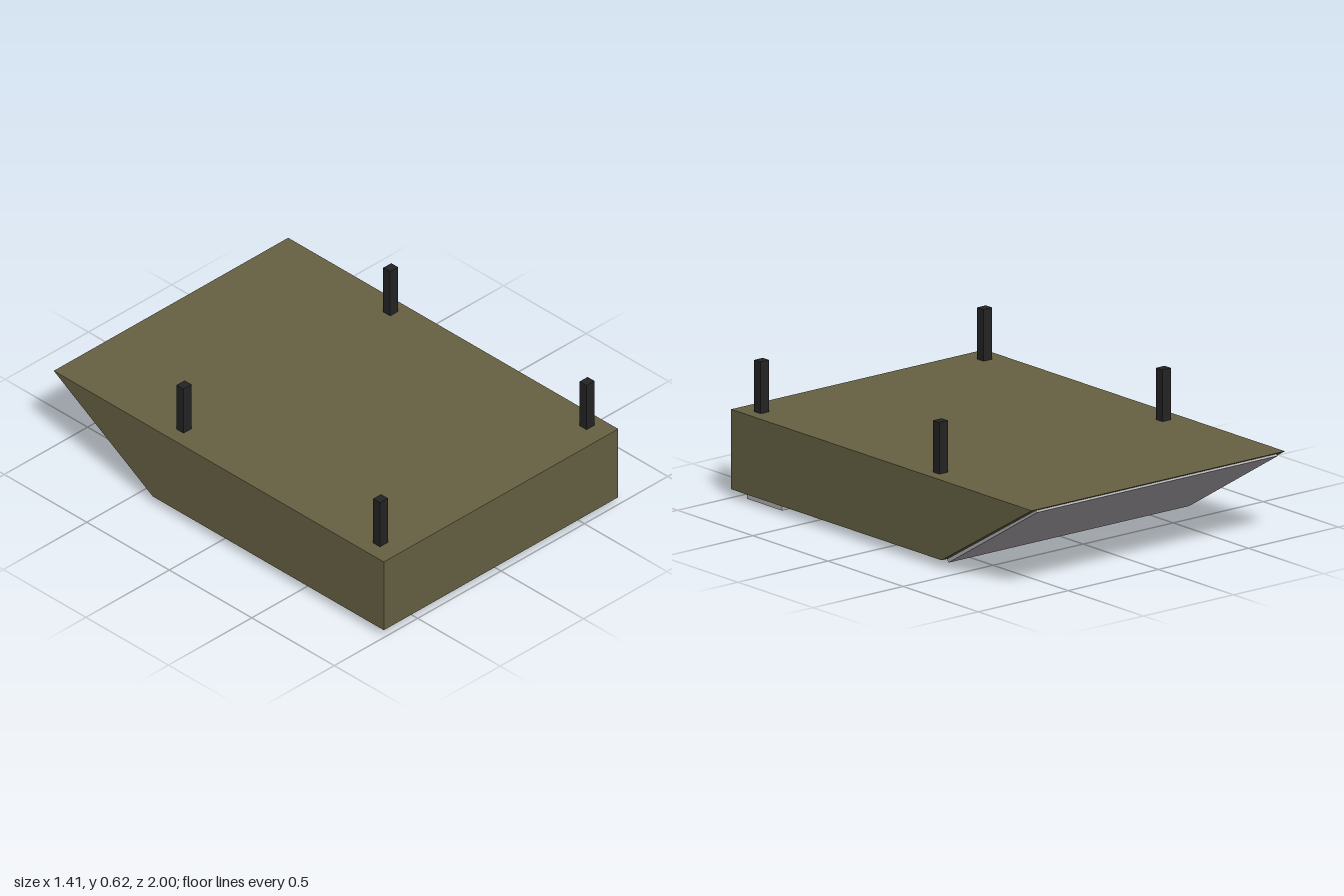
import * as THREE from 'three';

const olive = new THREE.MeshStandardMaterial({ color: 0x666143 });
const black = new THREE.MeshStandardMaterial({ color: 0x242424 });
const metal = new THREE.MeshStandardMaterial({ color: 0xb4b0b4 });

// Extrudes a side profile of [z, y] points across the width, centred on x = 0.
function sideExtrude(name, points, width, material) {
  const shape = new THREE.Shape(points.map(([z, y]) => new THREE.Vector2(-z, y)));
  const geometry = new THREE.ExtrudeGeometry(shape, { depth: width, bevelEnabled: false });
  geometry.translate(0, 0, -width / 2);
  geometry.rotateY(Math.PI / 2); // shape x -> -z, depth -> x
  const mesh = new THREE.Mesh(geometry, material);
  mesh.name = name;
  return mesh;
}

function box(name, size, position, material) {
  const mesh = new THREE.Mesh(new THREE.BoxGeometry(...size), material);
  mesh.name = name;
  mesh.position.set(...position);
  return mesh;
}

export function createModel() {
  const model = new THREE.Group();
  model.name = 'slopedTray';

  // Main block with an undercut rear
  model.add(sideExtrude('body',
    [[1, 0.038], [1, 0.393], [-1, 0.393], [-0.4, 0.038]], 1.406, olive));

  // Thin plate on the sloping underside
  model.add(sideExtrude('slopePlate',
    [[-0.39, 0.045], [-0.98, 0.386], [-0.995, 0.378], [-0.405, 0.022]], 1.338, metal));

  // Flat bar under the front
  model.add(box('frontBar', [1.322, 0.05, 0.235], [0, 0.025, 0.828], metal));

  // Four upright posts, the pairs slightly off centre
  for (const z of [0.888, -0.302]) {
    for (const x of [-0.612, 0.627]) {
      model.add(box('post', [0.048, 0.24, 0.042], [x, 0.503, z], black));
    }
  }
  return model;
}
